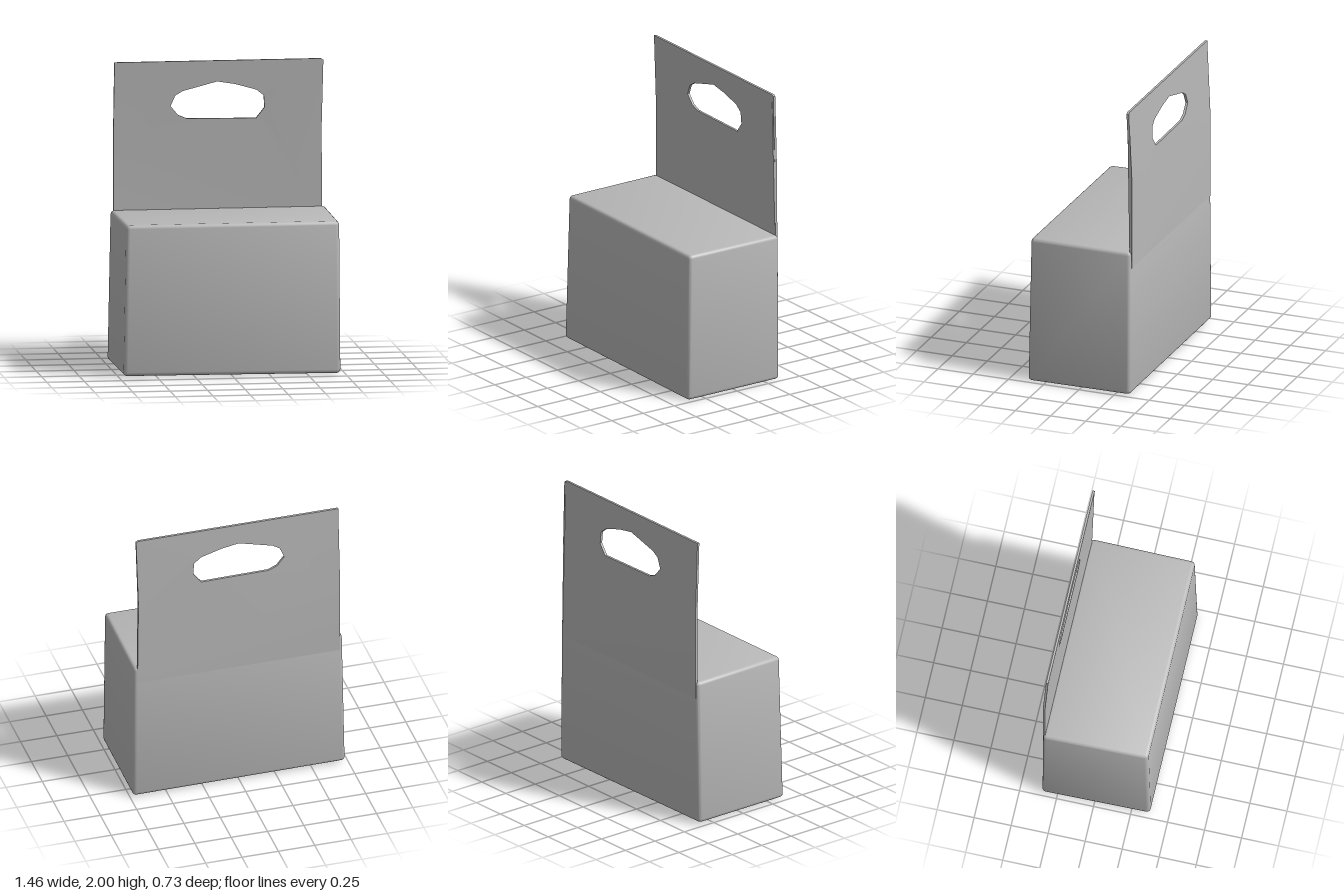
import * as THREE from 'three';
import { RoundedBoxGeometry } from 'three/addons/geometries/RoundedBoxGeometry.js';
import { toCreasedNormals } from 'three/addons/utils/BufferGeometryUtils.js';

const cardboard = new THREE.MeshStandardMaterial({ color: 0xb8b8b8 });
cardboard.name = 'cardboardGrey';

// Move every vertex of a geometry by a rule
function warp(geometry, rule) {
  const pos = geometry.attributes.position;
  const v = new THREE.Vector3();
  for (let i = 0; i < pos.count; i++) {
    v.fromBufferAttribute(pos, i);
    rule(v);
    pos.setXYZ(i, v.x, v.y, v.z);
  }
  return toCreasedNormals(geometry, 0.7);
}

const toPoints = (list) => list.map(([x, y]) => new THREE.Vector2(x, y));

// Closed box with soft edges, slightly wider at the bottom
function createBox() {
  const geometry = new RoundedBoxGeometry(1.46, 1.006, 0.72, 2, 0.025);
  warp(geometry, (v) => {
    const up = (v.y + 0.503) / 1.006;
    const front = (v.z + 0.36) / 0.72;
    const side = v.x / 0.73;
    v.x += side < 0 ? 0.02 * up + 0.012 * front : -0.006 * up - 0.006 * front;
    v.z += front * (0.008 - 0.018 * up) + 0.006;
    v.y += 0.511 + (1 - up) * (0.006 * (1 - front) - 0.004 * side);
  });
  const mesh = new THREE.Mesh(geometry, cardboard);
  mesh.name = 'box';
  return mesh;
}

// Thin back panel with a cut-out grip hole
function createHandlePanel() {
  const shape = new THREE.Shape(toPoints([
    [-0.69, 0.9], [0.7, 0.9], [0.7, 1.02], [0.695, 1.5], [0.705, 1.99],
    [0.69, 2], [-0.685, 2], [-0.69, 1.5], [-0.69, 1.02],
  ]));
  shape.holes.push(new THREE.Path(toPoints([
    [-0.31, 1.7], [-0.28, 1.77], [-0.23, 1.8], [0, 1.86], [0.12, 1.84],
    [0.26, 1.8], [0.31, 1.76], [0.315, 1.68], [0.26, 1.61], [-0.2, 1.615], [-0.26, 1.64],
  ])));
  const depth = 0.016;
  const geometry = new THREE.ExtrudeGeometry(shape, { depth, bevelEnabled: false });
  // Lean the top forward a little
  warp(geometry, (v) => {
    v.z += -0.356 + 0.04 * Math.max(0, v.y - 1.5);
  });
  const mesh = new THREE.Mesh(geometry, cardboard);
  mesh.name = 'handlePanel';
  return mesh;
}

export function createModel() {
  const group = new THREE.Group();
  group.name = 'carrierBox';
  group.add(createBox(), createHandlePanel());
  return group;
}
